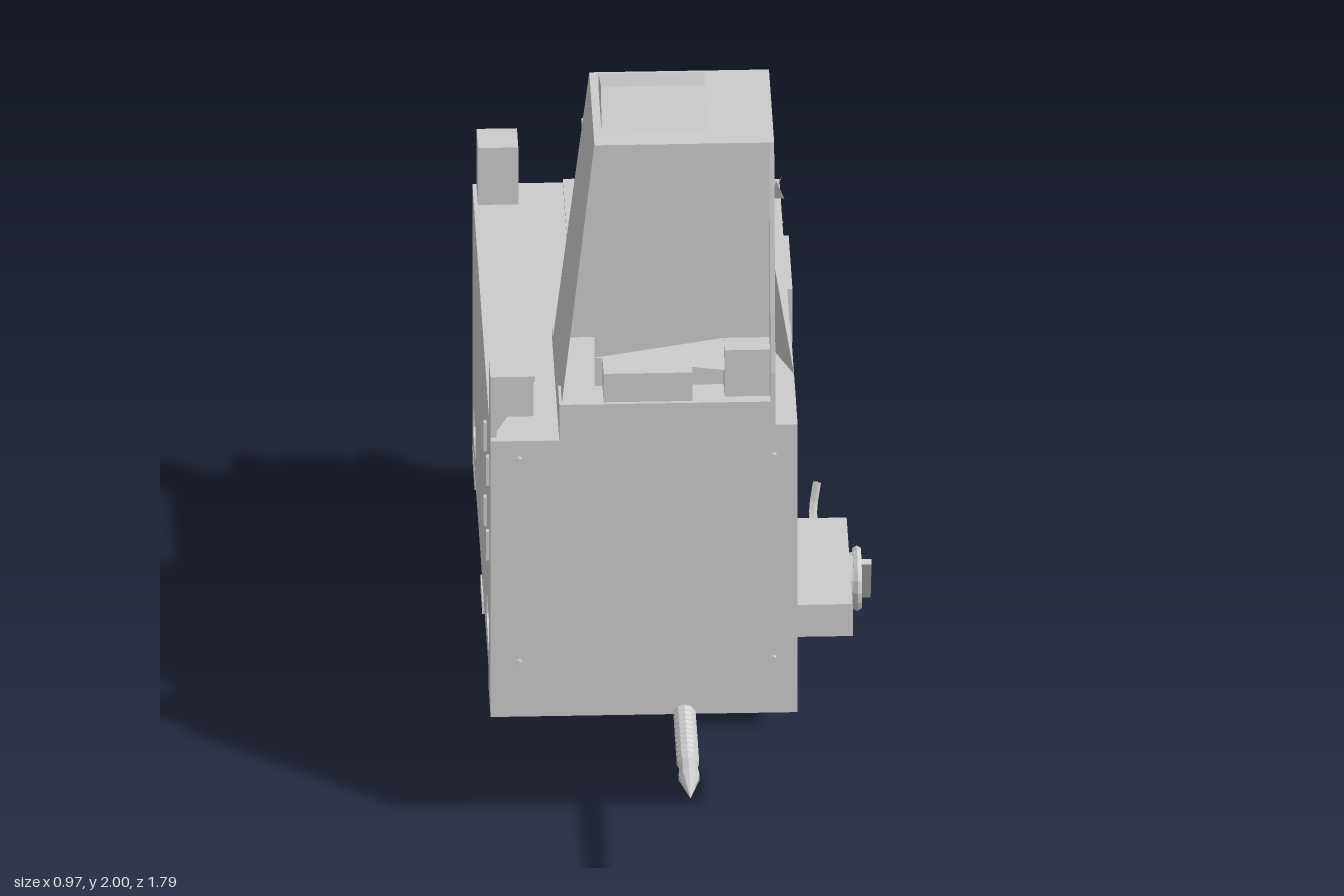
import * as THREE from 'three';

const mat = new THREE.MeshStandardMaterial({ color: 0xcccccc, flatShading: true, side: THREE.DoubleSide });

export function createModel() {
  const model = new THREE.Group();

  const add = (name, geo, x = 0, y = 0, z = 0) => {
    const m = new THREE.Mesh(geo, mat);
    m.name = name;
    m.position.set(x, y, z);
    model.add(m);
    return m;
  };
  // Box given by its limits
  const box = (name, x0, x1, y0, y1, z0, z1) =>
    add(name, new THREE.BoxGeometry(x1 - x0, y1 - y0, z1 - z0), (x0 + x1) / 2, (y0 + y1) / 2, (z0 + z1) / 2);
  const outline = pts => pts.map(p => new THREE.Vector2(...p));
  const rect = (a0, a1, b0, b1) => [[a0, b0], [a1, b0], [a1, b1], [a0, b1]];
  // Plate lying in the z-y plane, from x - depth to x
  const sidePlate = (name, pts, x, depth, holes = []) => {
    const shape = new THREE.Shape(outline(pts));
    holes.forEach(h => shape.holes.push(new THREE.Path(outline(h))));
    const m = add(name, new THREE.ExtrudeGeometry(shape, { depth, bevelEnabled: false }), x);
    m.rotation.y = -Math.PI / 2;
    return m;
  };
  // Flat polygon through 3D corners
  const panel = (name, corners) => {
    const g = new THREE.BufferGeometry();
    g.setAttribute('position', new THREE.Float32BufferAttribute(corners.flat(), 3));
    const index = [];
    for (let i = 1; i < corners.length - 1; i++) index.push(0, i, i + 1);
    g.setIndex(index);
    g.computeVertexNormals();
    return add(name, g);
  };
  const rivet = (x, y, z, axis) => {
    const m = add('rivet', new THREE.CylinderGeometry(0.008, 0.008, 0.014, 6), x, y, z);
    m.rotation[axis] = Math.PI / 2;
  };

  // Hollow cabinet, with one upper rear corner of the left side cut away
  const ports = [[0.17, 0.33], [-0.8, -0.65]].map(([a, b]) =>
    [[a + 0.02, 0.46], [b, 0.46], [b, 0.55], [a + 0.02, 0.55], [a, 0.53], [a, 0.48]]);
  sidePlate('leftWall', [[-0.88, 0.42], [0.46, 0.42], [0.46, 1.12], [-0.24, 1.12], [-0.88, 0.6]], 0.28, 0.012, ports);
  sidePlate('rightWall', rect(-0.88, 0.46, 0.42, 1.12), -0.468, 0.012, ports);
  box('frontWall', -0.48, 0.28, 0.42, 1.12, 0.445, 0.46);
  box('backWall', -0.48, 0.28, 0.42, 1.12, -0.88, -0.865);
  box('deck', -0.48, 0.28, 1.105, 1.12, -0.88, 0.46);
  box('floor', -0.48, 0.28, 0.4, 0.42, -0.88, 0.46);
  box('raisedDeck', -0.31, 0.28, 1.12, 1.155, -0.07, 0.46);
  for (const z of [0.463, -0.883])
    for (const x of [-0.41, 0.22]) for (const y of [0.5, 1.07]) rivet(x, y, z, 'x');
  for (const z of [0.17, 0.35])
    for (const y of [0.77, 0.98]) box('sideClip', -0.488, -0.48, y - 0.04, y + 0.04, z - 0.008, z + 0.008);

  // Framed control panel on the left side
  sidePlate('controlFrame', rect(-0.79, -0.51, 0.86, 1.01), 0.3, 0.022, [rect(-0.75, -0.55, 0.88, 0.99)]);
  box('controlBack', 0.275, 0.285, 0.87, 1.0, -0.77, -0.53);
  for (const z of [-0.6, -0.7])
    sidePlate('controlArrow', [[z - 0.02, 0.91], [z + 0.03, 0.945], [z - 0.02, 0.95]], 0.295, 0.012);

  // Tower: upright front and back, a flared right side and a sloped left fin
  panel('towerBack', [[0.22, 1.155, -0.01], [-0.31, 1.155, -0.01], [-0.22, 1.9, -0.01], [0.22, 1.9, -0.01]]);
  panel('towerFront', [[-0.22, 1.155, 0.365], [0.22, 1.155, 0.365], [0.22, 1.9, 0.365], [-0.22, 1.9, 0.365]]);
  panel('towerRight', [[-0.31, 1.155, -0.01], [-0.31, 1.155, 0.46], [-0.3, 1.25, 0.45], [-0.22, 1.9, 0.365], [-0.22, 1.9, -0.01]]);
  sidePlate('towerLeft', [[-0.01, 1.15], [0.46, 1.15], [0.46, 1.3], [0.37, 1.9], [-0.01, 1.9]], 0.225, 0.012);
  box('towerTop', -0.22, 0.22, 1.89, 1.9, -0.01, 0.37);
  box('towerStep', -0.31, 0.22, 1.155, 1.22, 0.36, 0.46);
  box('towerDrawer', -0.2, 0.02, 1.21, 1.3, 0.36, 0.45);
  box('towerLedge', 0.1, 0.215, 1.22, 1.35, 0.36, 0.43);
  panel('towerLip', [[-0.22, 1.3, 0.365], [0.1, 1.3, 0.44], [0.1, 1.35, 0.365]]);
  panel('towerGusset', [[0.225, 1.155, 0.05], [0.28, 1.155, 0.2], [0.225, 1.5, 0.2]]);
  sidePlate('towerCap', [[0.07, 1.9], [0.31, 1.9], [0.25, 2.0], [0.09, 1.95]], 0.06, 0.26);
  for (const y of [1.67, 1.8]) for (const x of [-0.12, 0.12]) rivet(x, y, -0.014, 'x');
  // Pointed vane on the tower side
  for (let i = 0; i < 3; i++) {
    const a = i * 2.1 + 0.4, b = a + 0.9;
    panel('vane', [[0.225, 1.64, 0.18],
      [0.255, 1.64 + 0.075 * Math.sin(a), 0.18 + 0.06 * Math.cos(a)],
      [0.235, 1.64 + 0.06 * Math.sin(b), 0.18 + 0.05 * Math.cos(b)]]);
  }
  // Tap behind the tower
  add('tapWheel', new THREE.TorusGeometry(0.025, 0.006, 5, 10), -0.06, 1.26, -0.06);
  box('tapStem', -0.066, -0.054, 1.25, 1.27, -0.07, 0);

  // Twin-rail channel on the rear deck
  box('channelFlange', -0.256, 0.227, 1.12, 1.13, -0.88, -0.21);
  box('channelRightBed', -0.21, -0.11, 1.13, 1.23, -0.88, -0.21);
  box('channelLeftBed', 0.036, 0.17, 1.13, 1.23, -0.88, -0.21);
  box('channelFloor', -0.11, 0.036, 1.13, 1.16, -0.86, -0.21);
  for (const x of [-0.21, 0.11]) box('rail', x, x + 0.06, 1.23, 1.3, -0.88, -0.21);
  box('channelBlock', -0.11, 0.036, 1.2, 1.27, -0.88, -0.6);
  for (const x of [-0.16, 0.1]) rivet(x, 1.19, -0.884, 'x');

  // Corner brackets on the right edge
  box('rearBracket', -0.47, -0.37, 1.12, 1.28, -0.87, -0.77);
  box('frontBracketTop', -0.48, -0.37, 1.275, 1.29, 0.34, 0.44);
  box('frontBracketPost', -0.48, -0.465, 1.12, 1.28, 0.34, 0.44);
  panel('frontBracketGusset', [[-0.47, 1.13, 0.44], [-0.37, 1.28, 0.44], [-0.47, 1.28, 0.44]]);
  panel('frontBracketBrace', [[-0.37, 1.13, 0.35], [-0.37, 1.28, 0.35], [-0.47, 1.13, 0.35]]);

  // Cross bars and beams under the floor
  box('frontBar', -0.48, 0.28, 0.345, 0.41, 0.29, 0.46);
  box('rearBar', -0.48, 0.28, 0.345, 0.385, -0.88, -0.72);
  box('middleBar', -0.48, 0.37, 0.3, 0.335, -0.3, -0.16);
  for (const x of [-0.26, 0.2]) box('beam', x - 0.05, x + 0.05, 0.335, 0.4, -0.5, 0.1);

  // Side pod with a round valve and a bent lever
  box('sidePod', 0.28, 0.43, 0.34, 0.43, -0.39, 0.06);
  const wheel = add('valveWheel', new THREE.TorusGeometry(0.07, 0.012, 6, 16), 0.45, 0.345, -0.23);
  wheel.rotation.y = Math.PI / 2;
  const hub = add('valveHub', new THREE.CylinderGeometry(0.062, 0.07, 0.04, 16), 0.44, 0.345, -0.23);
  hub.rotation.z = Math.PI / 2;
  const spoke = box('valveSpoke', 0.45, 0.485, 0.27, 0.42, -0.238, -0.222);
  spoke.rotation.x = 0.5;
  const lever = new THREE.CatmullRomCurve3([[0.35, 0.38, -0.38], [0.35, 0.37, -0.46], [0.35, 0.4, -0.5], [0.36, 0.46, -0.52]]
    .map(p => new THREE.Vector3(...p)));
  add('lever', new THREE.TubeGeometry(lever, 8, 0.011, 5));

  // Threaded spike
  const rod = [[0, -0.45], [0.02, -0.45]];
  for (let z = 0; z < 0.72; z += 0.024) {
    const r = z > 0.3 && z < 0.45 ? 0.022 : 0.029;
    rod.push([0.021, z], [r, z + 0.007], [r, z + 0.015]);
  }
  rod.push([0.023, 0.73], [0.027, 0.79], [0, 0.9]);
  add('spike', new THREE.LatheGeometry(outline(rod), 10), 0, 0.345, 0).rotation.x = Math.PI / 2;

  // Faceted scoop and its thin blades
  const bowl = new THREE.SphereGeometry(1, 10, 4, 0, Math.PI * 2, Math.PI / 2, Math.PI / 2);
  add('scoop', bowl, 0.01, 0.345, -0.23).scale.set(0.19, 0.195, 0.29);
  sidePlate('blade', [[0.1, 0.24], [-0.05, 0.18], [-0.33, 0.06], [-0.45, 0.13], [-0.52, 0.28], [-0.52, 0.345], [0, 0.345]], -0.06, 0.012);
  const claw = [[0, 0.34], [-0.04, 0.2], [-0.12, 0.09], [-0.28, 0.07], [-0.34, 0], [-0.29, 0.05], [-0.11, 0.07], [-0.06, 0.18], [-0.03, 0.34]];
  sidePlate('claw', claw, -0.085, 0.01);
  panel('scoopFin', [[0.12, 0.3, -0.15], [0.2, 0.21, -0.3], [0.05, 0.15, -0.36]]);

  return model;
}
